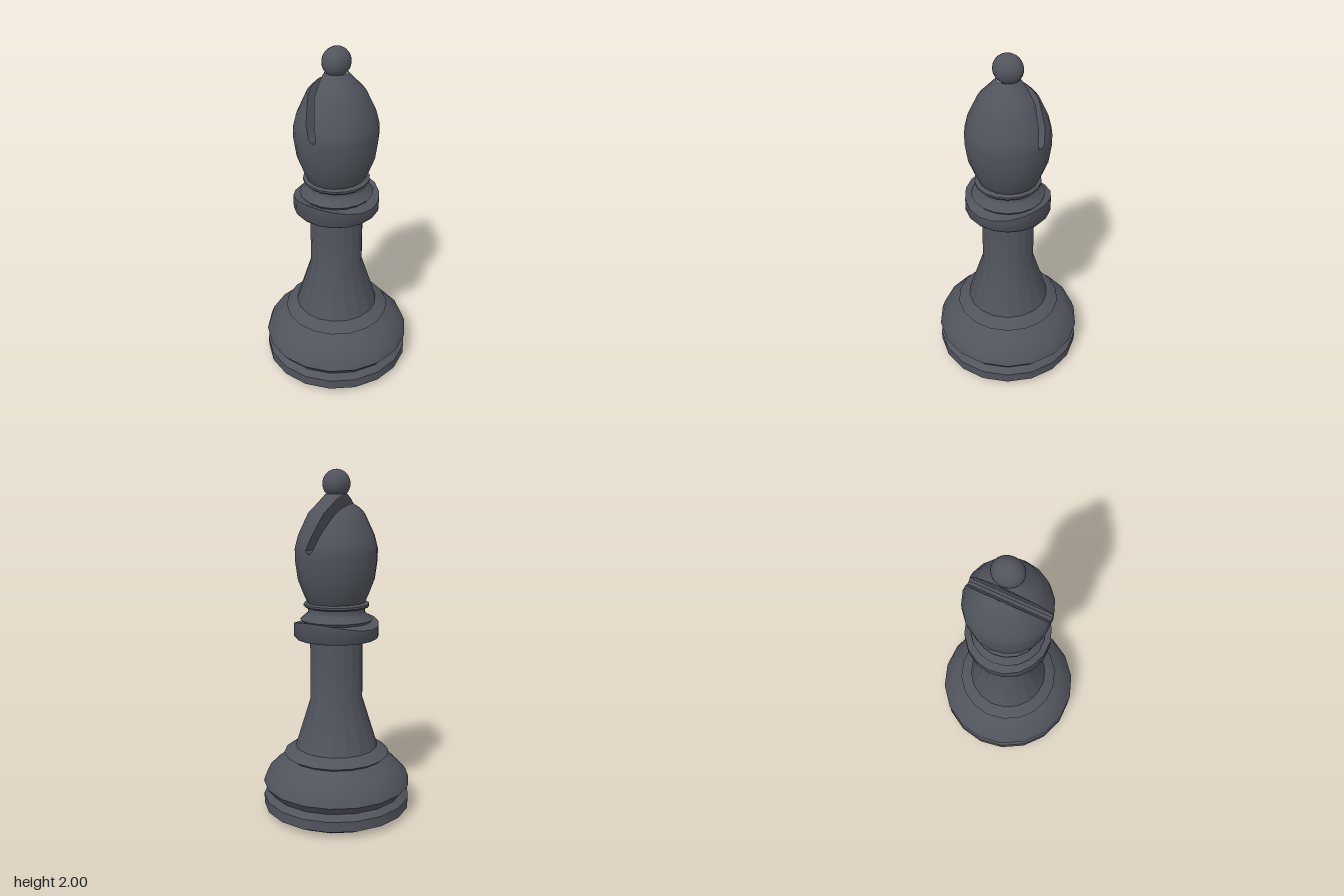
import * as THREE from 'three';
import { toCreasedNormals } from 'three/addons/utils/BufferGeometryUtils.js';

const SIDES = 18, STEP = (Math.PI * 2) / SIDES;
const HEAD_STRETCH = 1.04; // the head is slightly wider than deep

const material = new THREE.MeshStandardMaterial({ color: 0x50545c });

function part(name, geometry, crease = 0.7) {
  const mesh = new THREE.Mesh(toCreasedNormals(geometry, crease), material);
  mesh.name = name;
  return mesh;
}

function turned(points) {
  return new THREE.LatheGeometry(points.map(([r, y]) => new THREE.Vector2(r, y)), SIDES);
}

// Head outline: [radius, height]
const headOutline = [
  [0.15, 1.24], [0.165, 1.26], [0.187, 1.31], [0.217, 1.39], [0.232, 1.5], [0.232, 1.565],
  [0.213, 1.64], [0.157, 1.76], [0.108, 1.812], [0.06, 1.865],
];

function headRadius(y) {
  for (let i = 1; i < headOutline.length; i++) {
    const [r0, y0] = headOutline[i - 1], [r1, y1] = headOutline[i];
    if (y <= y1) return THREE.MathUtils.lerp(r0, r1, (y - y0) / (y1 - y0));
  }
  return headOutline[headOutline.length - 1][0];
}

// One side of the slotted head: rings cut off by a flat wall at z = cut(y).
// facing -1 turns the piece round to the back.
function headPiece(levels, cut, facing) {
  const positions = [], index = [], count = SIDES + 1;
  levels.forEach((y) => {
    const r = headRadius(y);
    const limit = Math.acos(THREE.MathUtils.clamp(cut(y) / r, -1, 1));
    for (let i = 0; i < count; i++) {
      const a = THREE.MathUtils.clamp(-Math.PI + i * STEP, -limit, limit);
      const within = THREE.MathUtils.euclideanModulo(a, STEP) - STEP / 2;
      const edge = (r * Math.cos(STEP / 2)) / Math.cos(within);
      positions.push(facing * edge * Math.sin(a) * HEAD_STRETCH, y, facing * edge * Math.cos(a));
    }
  });
  for (let j = 0; j < levels.length - 1; j++) {
    for (let i = 0; i < count; i++) {
      const a = j * count + i, b = j * count + ((i + 1) % count);
      index.push(a, b, b + count, a, b + count, a + count);
    }
  }
  const geometry = new THREE.BufferGeometry();
  geometry.setAttribute('position', new THREE.Float32BufferAttribute(positions, 3));
  geometry.setIndex(index);
  return geometry;
}

export function createModel() {
  const group = new THREE.Group();

  // Stepped foot
  group.add(part('base', turned([
    [0, 0], [0.365, 0], [0.436, 0.04], [0.436, 0.1], [0.4, 0.13], [0.438, 0.18], [0.42, 0.23],
    [0.36, 0.29], [0.29, 0.34], [0.312, 0.357], [0.25, 0.4], [0, 0.4],
  ])));

  // Flared stem
  group.add(part('stem', turned([[0.245, 0.395], [0.153, 0.69], [0.153, 1.06]]), 0.3));

  // Collar, whose shoulder rises towards the left and right
  const collar = turned([
    [0.14, 1.052], [0.235, 1.052], [0.246, 1.065], [0.246, 1.122], [0.195, 1.145],
    [0.21, 1.162], [0.165, 1.2], [0.165, 1.235],
  ]);
  const p = collar.attributes.position;
  for (let i = 0; i < p.count; i++) {
    if (Math.abs(p.getY(i) - 1.122) < 0.001) p.setY(i, 1.122 + 0.045 * (p.getX(i) / 0.246) ** 2);
  }
  group.add(part('collar', collar, 0.9));

  // Thin ring under the head
  group.add(part('neckRing', turned([
    [0.15, 1.232], [0.182, 1.232], [0.189, 1.24], [0.189, 1.251], [0.182, 1.258], [0.15, 1.262],
  ])));

  // Head: closed lower bowl, then two pieces with the slanted slot between them
  const head = new THREE.Group();
  head.name = 'head';
  const floor = 1.545;
  const bowl = turned([...headOutline.filter(([, y]) => y < floor), [headRadius(floor), floor], [0, floor]]);
  bowl.scale(HEAD_STRETCH, 1, 1);
  const frontCut = (y) => (y < 1.55 ? 0.028 : 0.037 - (y - 1.565) * 0.333);
  const backCut = (y) => (y < 1.55 ? -0.008 : 0.011 + (y - 1.565) * 0.388);
  const levels = [floor, 1.565, 1.6, 1.64, 1.68, 1.72, 1.76, 1.79, 1.812];
  head.add(
    part('headBowl', bowl),
    part('headFront', headPiece([...levels, 1.84, 1.865], frontCut, 1)),
    part('headBack', headPiece(levels, backCut, -1)),
  );
  group.add(head);

  // Ball on top
  const ball = new THREE.Mesh(new THREE.SphereGeometry(1, 24, 16), material);
  ball.name = 'finial';
  ball.scale.set(0.085, 0.08, 0.075);
  ball.position.y = 1.92;
  group.add(ball);

  return group;
}
